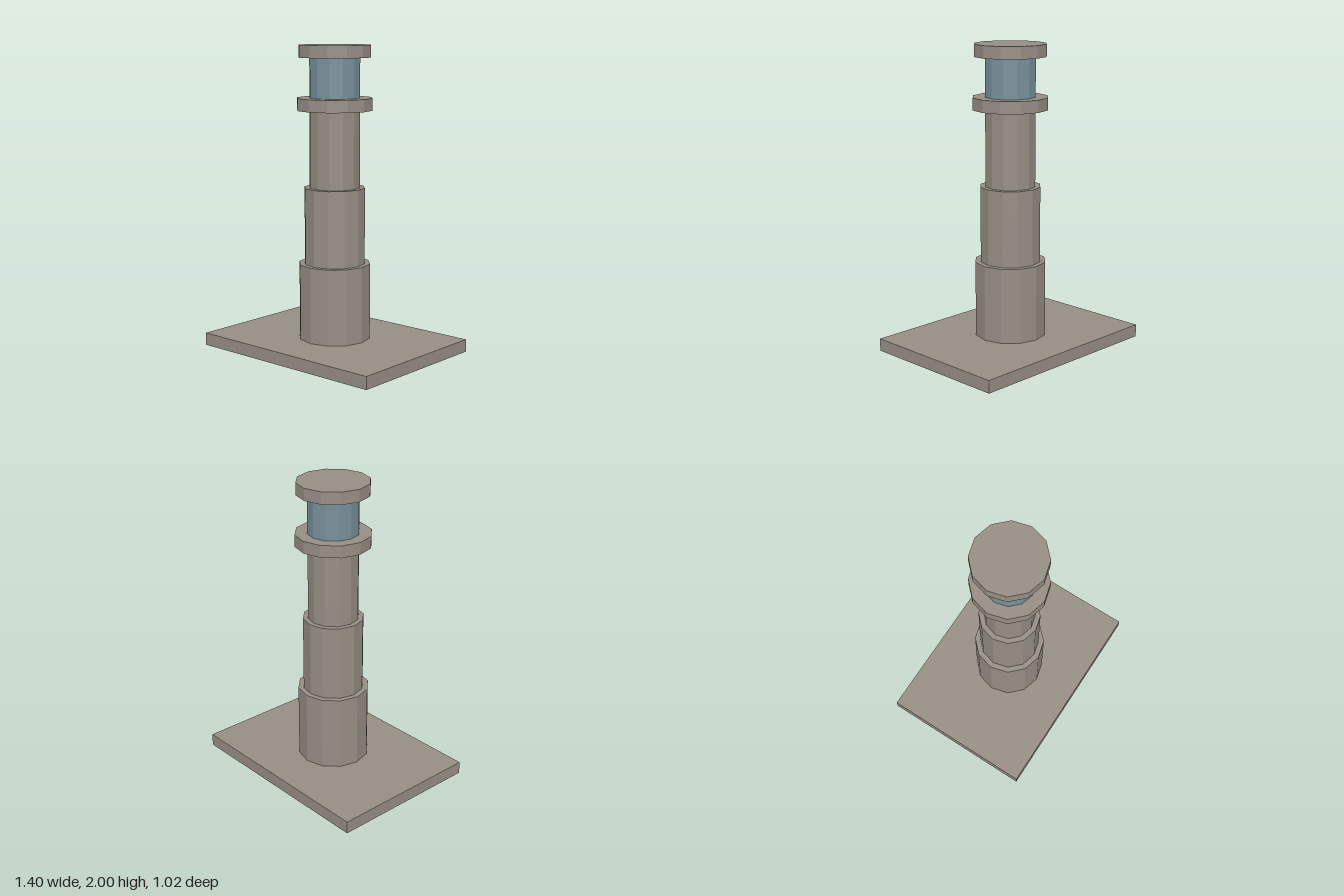
import * as THREE from 'three';

export function createModel() {
  const model = new THREE.Group();
  model.name = 'lighthouse';

  const stone = new THREE.MeshStandardMaterial({ name: 'stone', color: 0x968e84 });
  const glass = new THREE.MeshStandardMaterial({ name: 'blueGlass', color: 0x78909b });

  // Rectangular ground slab
  const base = new THREE.Mesh(new THREE.BoxGeometry(1.4, 0.083, 1.024), stone);
  base.name = 'base';
  base.position.y = 0.0415;
  model.add(base);

  // Stacked twelve-sided drums: name, radius, bottom, top, material
  const drums = [
    ['lowerTower', 0.236, 0.083, 0.583, stone],
    ['middleTower', 0.2, 0.583, 1.083, stone],
    ['upperTower', 0.166, 1.083, 1.583, stone],
    ['gallery', 0.247, 1.583, 1.663, stone],
    ['lantern', 0.166, 1.663, 1.92, glass],
    ['roof', 0.236, 1.92, 2, stone],
  ];
  for (const [name, radius, bottom, top, material] of drums) {
    // Non-indexed with own normals, so every side stays flat
    const geometry = new THREE.CylinderGeometry(radius, radius, top - bottom, 12).toNonIndexed();
    geometry.computeVertexNormals();
    const drum = new THREE.Mesh(geometry, material);
    drum.name = name;
    drum.position.y = (bottom + top) / 2;
    model.add(drum);
  }

  return model;
}
